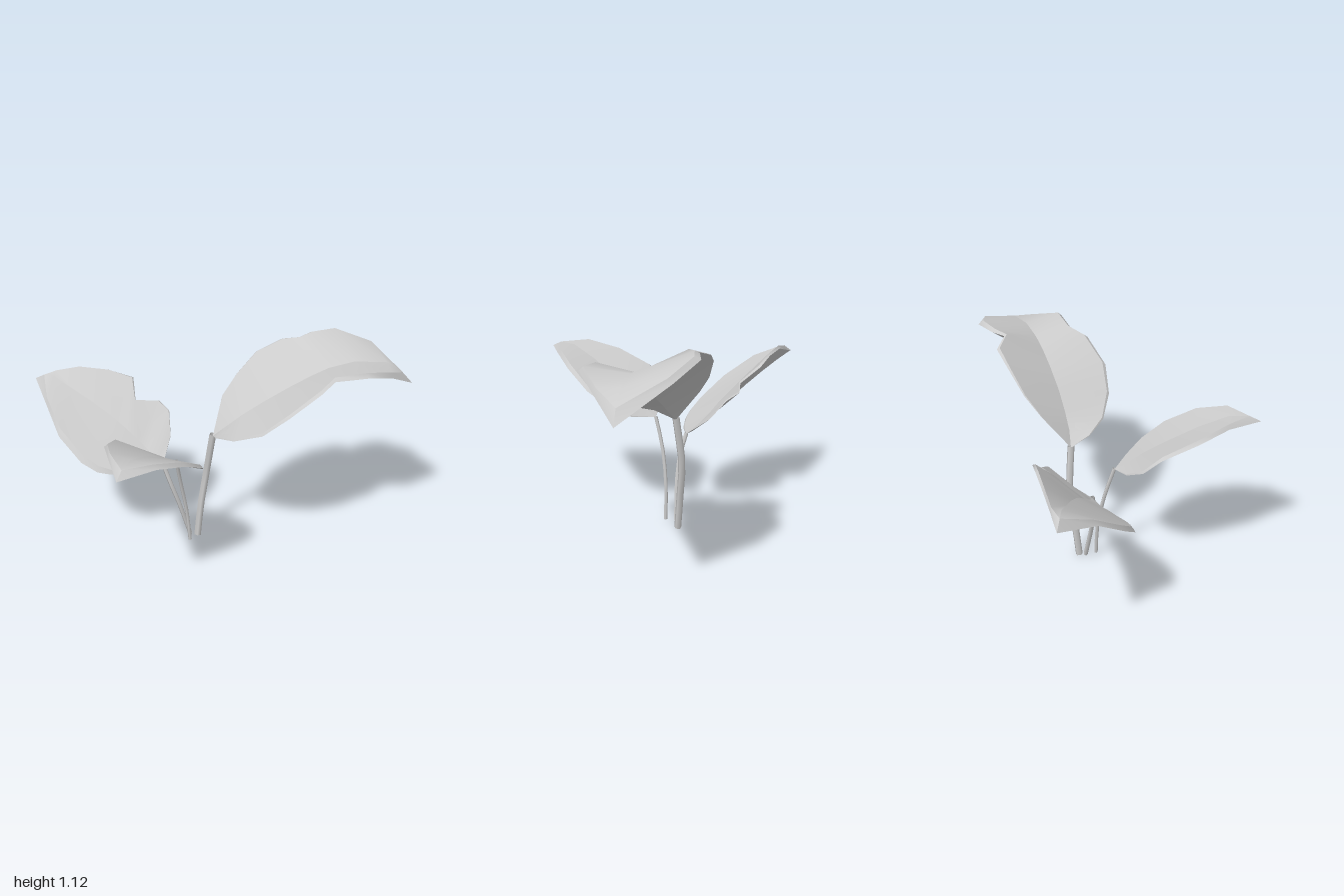
import * as THREE from 'three';

const material = new THREE.MeshStandardMaterial({ color: 0xcccccc, side: THREE.DoubleSide });
// Half thickness at the rim, and rise and drop at the midrib, all growing towards the tip
const RIM = 0.015, RISE = 0.045, DROP = 0.03;

// Ring around the blade at one row: upper left, midrib, right, then lower right, midrib, left.
// The upper face has its rim drawn in more and more towards the tip.
function bladeRing(row, t) {
  const [left, mid, right] = row.map(p => new THREE.Vector3(...p));
  const shift = (p, dy) => new THREE.Vector3(p.x, p.y + dy * t, p.z);
  const inset = p => shift(p.clone().lerp(mid, 0.11 * t), RIM);
  return [
    inset(left), shift(mid, RISE), inset(right),
    shift(right, -RIM), shift(mid, -DROP), shift(left, -RIM),
  ];
}

// Leaf blade lofted along its midrib; each row is [left edge, midrib, right edge].
// The upper face ends at apex, the lower one at tip, so the rim slopes down between them.
function makeLeaf(name, base, rows, apex, tip) {
  const top = new THREE.Vector3(...apex), end = new THREE.Vector3(...tip);
  const rings = [
    bladeRing([base, base, base], 0),
    ...rows.map((row, i) => bladeRing(row, (i + 1) / rows.length)),
    [top, top, top, end, end, end],
  ];
  const positions = [], index = [];
  // Separate strips keep the midrib and the rim crisp
  for (let j = 0; j < 6; j++) {
    const start = positions.length / 3;
    rings.forEach((ring, i) => {
      positions.push(...ring[j].toArray(), ...ring[(j + 1) % 6].toArray());
      if (i === 0) return;
      const an = start + i * 2, a = an - 2, b = a + 1, bn = an + 1;
      index.push(b, bn, a, a, bn, an);
    });
  }
  const geometry = new THREE.BufferGeometry();
  geometry.setAttribute('position', new THREE.Float32BufferAttribute(positions, 3));
  geometry.setIndex(index);
  geometry.computeVertexNormals();
  const mesh = new THREE.Mesh(geometry, material);
  mesh.name = name;
  return mesh;
}

// Slender bent stalk
function makeStem(name, points, radius) {
  const curve = new THREE.CatmullRomCurve3(points.map(p => new THREE.Vector3(...p)));
  const mesh = new THREE.Mesh(new THREE.TubeGeometry(curve, 6, radius, 5), material);
  mesh.name = name;
  return mesh;
}

export function createModel() {
  const group = new THREE.Group();
  group.name = 'plant';

  // Front leaf: regular, gently cupped
  group.add(makeLeaf('frontLeaf', [-0.07, 0.555, 0], [
    [[0.05, 0.575, 0.06], [-0.07, 0.58, 0.06], [-0.19, 0.59, 0.06]],
    [[0.13, 0.63, 0.14], [-0.07, 0.63, 0.14], [-0.29, 0.66, 0.14]],
    [[0.17, 0.71, 0.26], [-0.07, 0.69, 0.26], [-0.32, 0.75, 0.23]],
    [[0.14, 0.80, 0.42], [-0.07, 0.765, 0.42], [-0.28, 0.82, 0.41]],
    [[0.06, 0.85, 0.57], [-0.07, 0.815, 0.57], [-0.19, 0.86, 0.56]],
  ], [-0.07, 0.86, 0.67], [-0.07, 0.83, 0.73]));
  group.add(makeStem('frontStem', [
    [-0.03, 0.02, -0.1], [-0.045, 0.2, -0.09], [-0.065, 0.4, -0.05], [-0.07, 0.56, 0],
  ], 0.01));

  // Right-hand leaf: tilted to the front, with a notched back edge
  group.add(makeLeaf('rightLeaf', [-0.19, 0.455, -0.11], [
    [[-0.24, 0.44, -0.07], [-0.23, 0.465, -0.12], [-0.2, 0.56, -0.25]],
    [[-0.29, 0.435, -0.02], [-0.29, 0.50, -0.14], [-0.24, 0.67, -0.33]],
    [[-0.34, 0.435, 0.02], [-0.35, 0.535, -0.155], [-0.31, 0.705, -0.36]],
    [[-0.42, 0.45, 0.07], [-0.42, 0.575, -0.165], [-0.42, 0.72, -0.29]],
    [[-0.48, 0.465, 0.095], [-0.5, 0.615, -0.18], [-0.47, 0.815, -0.38]],
    [[-0.57, 0.51, 0.1], [-0.62, 0.67, -0.195], [-0.6, 0.85, -0.355]],
    [[-0.72, 0.615, 0.05], [-0.76, 0.725, -0.21], [-0.76, 0.855, -0.315]],
    [[-0.85, 0.73, -0.07], [-0.88, 0.77, -0.225], [-0.88, 0.82, -0.275]],
  ], [-0.94, 0.81, -0.23], [-1, 0.775, -0.24]));
  group.add(makeStem('rightStem', [
    [-0.05, 0.02, -0.155], [-0.1, 0.22, -0.12], [-0.145, 0.35, -0.105], [-0.19, 0.46, -0.11],
  ], 0.012));

  // Left-hand leaf: largest, arched, with a waist on both edges
  group.add(makeLeaf('leftLeaf', [0.05, 0.615, -0.225], [
    [[0.05, 0.79, -0.37], [0.12, 0.675, -0.235], [0.1, 0.66, -0.13]],
    [[0.1, 0.89, -0.46], [0.2, 0.74, -0.26], [0.22, 0.70, -0.06]],
    [[0.18, 1.0, -0.54], [0.3, 0.81, -0.295], [0.38, 0.775, -0.03]],
    [[0.3, 1.065, -0.61], [0.42, 0.885, -0.345], [0.51, 0.89, -0.05]],
    [[0.4, 1.10, -0.58], [0.52, 0.94, -0.39], [0.64, 1.0, -0.15]],
    [[0.44, 1.11, -0.65], [0.6, 0.975, -0.43], [0.68, 1.035, -0.24]],
    [[0.54, 1.115, -0.73], [0.72, 1.0, -0.49], [0.83, 1.055, -0.3]],
    [[0.74, 1.06, -0.74], [0.87, 0.98, -0.57], [0.92, 1.005, -0.46]],
  ], [0.95, 0.965, -0.61], [1, 0.9, -0.64]));
  group.add(makeStem('leftStem', [
    [-0.02, 0, -0.19], [-0.01, 0.18, -0.21], [0.01, 0.37, -0.235], [0.05, 0.625, -0.225],
  ], 0.019));

  return group;
}
